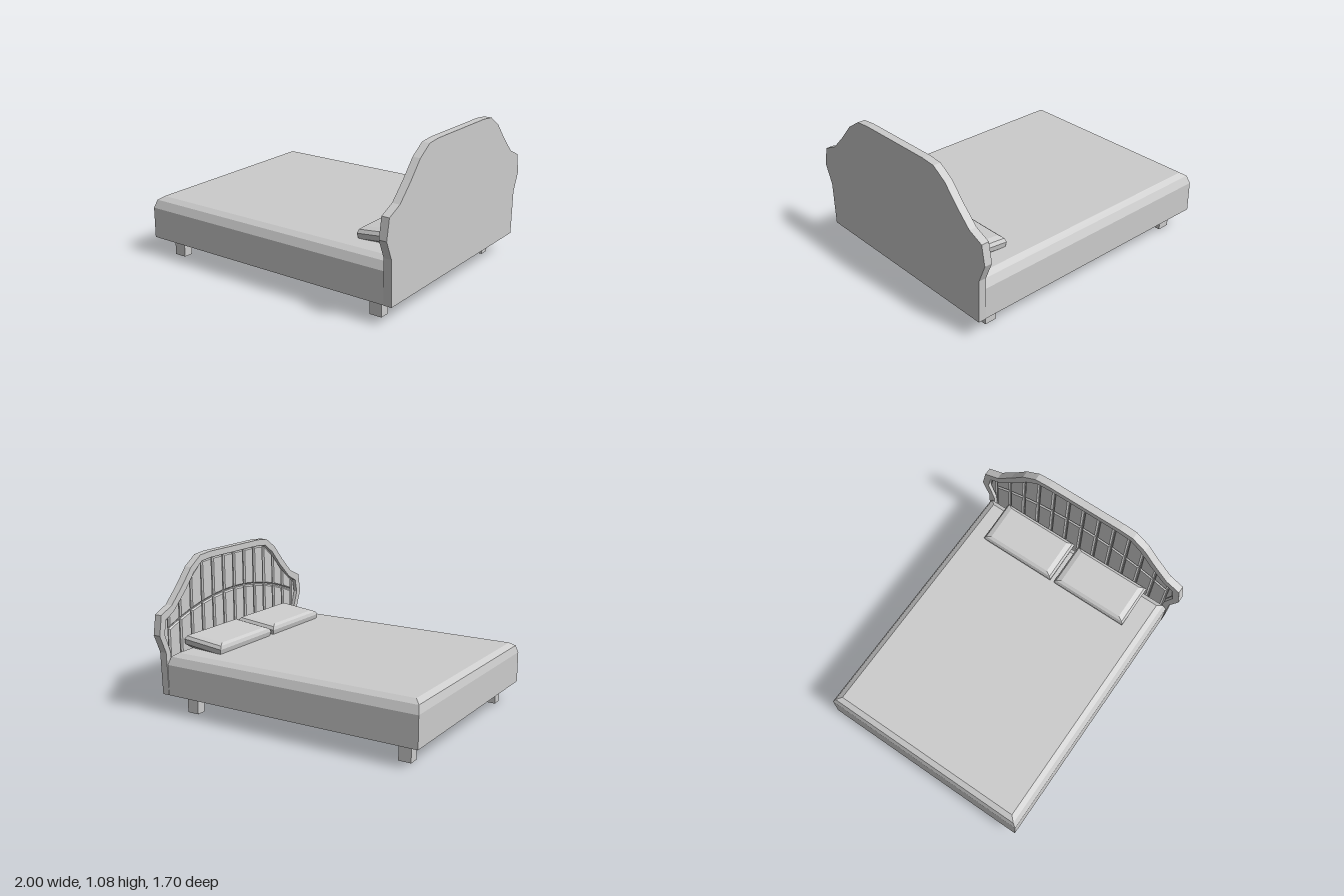
import * as THREE from 'three';

const material = new THREE.MeshStandardMaterial({ color: 0xcccccc, flatShading: true });

function addMesh(parent, geometry, name, x = 0, y = 0, z = 0) {
  const mesh = new THREE.Mesh(geometry, material);
  mesh.name = name;
  mesh.position.set(x, y, z);
  parent.add(mesh);
  return mesh;
}

// Rectangular block from stacked rings: [y, inset along x, inset along z]
function stackedBlock(width, depth, rings) {
  const corners = rings.map(([y, ix, iz]) => {
    const a = width / 2 - ix, b = depth / 2 - iz;
    return [[-a, y, b], [a, y, b], [a, y, -b], [-a, y, -b]];
  });
  const positions = [];
  const quad = (a, b, c, d) => positions.push(...a, ...b, ...c, ...a, ...c, ...d);
  for (let r = 0; r < rings.length - 1; r++) {
    for (let i = 0; i < 4; i++) {
      const j = (i + 1) % 4;
      quad(corners[r][i], corners[r][j], corners[r + 1][j], corners[r + 1][i]);
    }
  }
  quad(...corners[corners.length - 1]);
  quad(...[...corners[0]].reverse());
  const geometry = new THREE.BufferGeometry();
  geometry.setAttribute('position', new THREE.Float32BufferAttribute(positions, 3));
  geometry.computeVertexNormals();
  return geometry;
}

// Full (z, y) outline from its half, mirrored across z = 0
function mirrored(half) {
  const other = [...half].reverse().map(([z, y]) => [-z, y]);
  return [...half, ...other].map(([z, y]) => new THREE.Vector2(z, y));
}

// Extrude a (z, y) shape towards -x
function extrudeToFoot(shape, depth, bevel = 0) {
  const geometry = new THREE.ExtrudeGeometry(shape, {
    depth, bevelEnabled: bevel > 0, bevelThickness: bevel,
    bevelSize: bevel, bevelOffset: -bevel, bevelSegments: 1,
  });
  return geometry.rotateY(-Math.PI / 2);
}

const OUTER = [[0.785, 0.14], [0.795, 0.45], [0.85, 0.58], [0.825, 0.72], [0.715, 0.77],
  [0.6, 0.885], [0.5, 1.0], [0.395, 1.07], [0.29, 1.08]];
const INNER = [[0.74, 0.2], [0.75, 0.45], [0.8, 0.58], [0.78, 0.68], [0.695, 0.725],
  [0.565, 0.85], [0.47, 0.96], [0.38, 1.025], [0.28, 1.035]];

// Height of the recess top at a given z
function recessTop(z) {
  const a = Math.abs(z);
  for (let i = INNER.length - 1; i > 3; i--) {
    const [z0, y0] = INNER[i], [z1, y1] = INNER[i - 1];
    if (a <= z0) return y0;
    if (a <= z1) return y0 + (y1 - y0) * (a - z0) / (z1 - z0);
  }
  return INNER[3][1];
}

function createHeadboard() {
  const headboard = new THREE.Group();
  headboard.name = 'headboard';

  // Back board and the raised rim around the recess
  addMesh(headboard, extrudeToFoot(new THREE.Shape(mirrored(OUTER)), 0.025), 'backBoard', 1);
  const rim = new THREE.Shape(mirrored(OUTER));
  rim.holes.push(new THREE.Path(mirrored(INNER)));
  addMesh(headboard, extrudeToFoot(rim, 0.03), 'rim', 0.975);

  // Padded vertical channels, split by a seam that drops towards the sides
  const seam = (z) => 0.76 - 0.28 * z * z;
  const count = 12, gap = 0.005;
  for (let i = 0; i < count; i++) {
    const z0 = -0.74 + (1.48 * i) / count + gap;
    const z1 = -0.74 + (1.48 * (i + 1)) / count - gap;
    const lower = [[z0, 0.25], [z1, 0.25], [z1, seam(z1) - gap], [z0, seam(z0) - gap]];
    const upper = [[z0, seam(z0) + gap], [z1, seam(z1) + gap],
      [z1, recessTop(z1) - gap], [z0, recessTop(z0) - gap]];
    for (const [points, name] of [[lower, 'lowerPad'], [upper, 'upperPad']]) {
      const shape = new THREE.Shape(points.map(([z, y]) => new THREE.Vector2(z, y)));
      addMesh(headboard, extrudeToFoot(shape, 0.006, 0.01), name, 0.976);
    }
  }
  // Padding in the flared ears
  for (const s of [-1, 1]) {
    const ear = new THREE.Shape([[0.744, 0.46], [0.793, 0.58], [0.776, 0.67], [0.744, 0.69]]
      .map(([z, y]) => new THREE.Vector2(s * z, y)));
    addMesh(headboard, extrudeToFoot(ear, 0.006, 0.008), 'earPad', 0.976);
  }
  return headboard;
}

export function createModel() {
  const bed = new THREE.Group();
  bed.name = 'bed';

  // Mattress with softened top edges
  addMesh(bed, stackedBlock(1.946, 1.566, [
    [0.14, 0, 0], [0.36, 0, 0], [0.415, 0.013, 0.025], [0.44, 0.05, 0.062],
  ]), 'mattress', -0.027);

  bed.add(createHeadboard());

  // Two pillows tilted up towards the headboard
  for (const z of [-0.315, 0.305]) {
    const pillow = addMesh(bed, stackedBlock(0.322, 0.59, [
      [-0.048, 0.025, 0.035], [-0.025, 0.004, 0.006], [0.012, 0, 0],
      [0.035, 0.01, 0.014], [0.048, 0.03, 0.05],
    ]), 'pillow', 0.777, 0.478, z);
    pillow.rotation.z = 0.105;
  }

  // Square legs
  for (const x of [-0.86, 0.82]) {
    for (const z of [-0.65, 0.65]) {
      addMesh(bed, new THREE.BoxGeometry(0.09, 0.14, 0.07), 'leg', x, 0.07, z);
    }
  }
  return bed;
}
